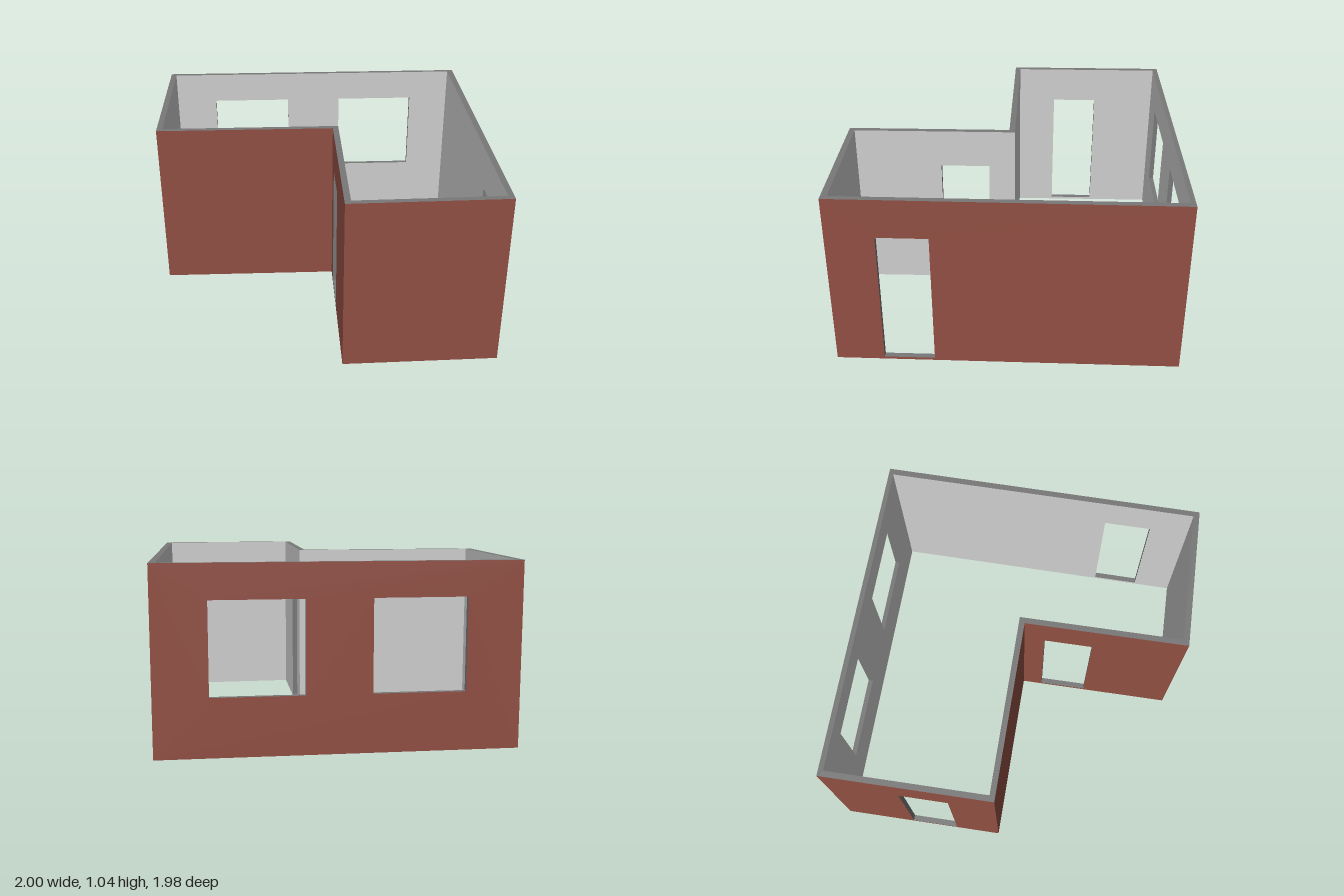
import * as THREE from 'three';

const HEIGHT = 1.045;

// Corners of the L-shaped plan as [x, z], going round anticlockwise from above
const OUTER = [[0.08, 0.99], [0.977, 0.98], [1, -0.98], [-1, -0.993], [-1, 0.007], [0.08, 0.016]];
const INNER = [[0.115, 0.955], [0.943, 0.945], [0.962, -0.953], [-0.965, -0.963], [-0.965, -0.025], [0.115, -0.018]];

const door = (from, to) => ({ from, to, bottom: 0.015, top: 0.815 });
const window_ = (from, to) => ({ from, to, bottom: 0.33, top: 0.85 });

// Openings are placed along the world axis the wall runs on
const WALLS = [
  { name: 'frontWall', openings: [] },
  { name: 'leftWall', openings: [door(0.705, 0.415)] },
  { name: 'backWall', openings: [window_(0.7, 0.185), window_(-0.18, -0.695)] },
  { name: 'rightWall', openings: [door(-0.56, -0.27)] },
  { name: 'recessFrontWall', openings: [] },
  { name: 'recessSideWall', openings: [door(0.14, 0.435)] },
];

function rectangle(path, u0, u1, y0, y1) {
  path.moveTo(u0, y0);
  path.lineTo(u1, y0);
  path.lineTo(u1, y1);
  path.lineTo(u0, y1);
  path.closePath();
  return path;
}

function wallGeometry(i, openings) {
  const j = (i + 1) % OUTER.length;
  const [a, b, ia, ib] = [OUTER[i], OUTER[j], INNER[i], INNER[j]];
  const axis = Math.abs(b[0] - a[0]) > Math.abs(b[1] - a[1]) ? 0 : 1;
  const fraction = (c, p, q) => (c - p[axis]) / (q[axis] - p[axis]);

  // Flat wall with holes, u running 0..1 along its outer face
  const shape = rectangle(new THREE.Shape(), 0, 1, 0, HEIGHT);
  for (const o of openings) {
    shape.holes.push(rectangle(new THREE.Path(), fraction(o.from, a, b), fraction(o.to, a, b), o.bottom, o.top));
  }
  const geometry = new THREE.ExtrudeGeometry(shape, { depth: 1, bevelEnabled: false });

  // Place each vertex on the outer or inner plan line, which mitres the corners
  const pos = geometry.attributes.position;
  for (let k = 0; k < pos.count; k++) {
    const u = pos.getX(k);
    const outside = pos.getZ(k) > 0.5;
    const [p, q] = outside ? [a, b] : [ia, ib];
    const atEnd = u < 1e-4 || u > 1 - 1e-4;
    const t = outside || atEnd ? u : fraction(a[axis] + (b[axis] - a[axis]) * u, ia, ib);
    pos.setXYZ(k, p[0] + (q[0] - p[0]) * t, pos.getY(k), p[1] + (q[1] - p[1]) * t);
  }
  geometry.computeVertexNormals();

  // Inner face, outer face, then top, bottom and reveals
  const [caps, sides] = geometry.groups.map((g) => ({ ...g }));
  geometry.clearGroups();
  geometry.addGroup(0, caps.count / 2, 0);
  geometry.addGroup(caps.count / 2, caps.count / 2, 1);
  geometry.addGroup(sides.start, sides.count, 2);
  return geometry;
}

export function createModel() {
  const material = (name, color) => {
    const m = new THREE.MeshStandardMaterial({ color });
    m.name = name;
    return m;
  };
  const materials = [
    material('light grey plaster', 0xcecece),
    material('brick red', 0x914f43),
    material('dark grey edge', 0x787878),
  ];

  const model = new THREE.Group();
  model.name = 'roomWalls';
  WALLS.forEach(({ name, openings }, i) => {
    const wall = new THREE.Mesh(wallGeometry(i, openings), materials);
    wall.name = name;
    model.add(wall);
  });
  return model;
}
